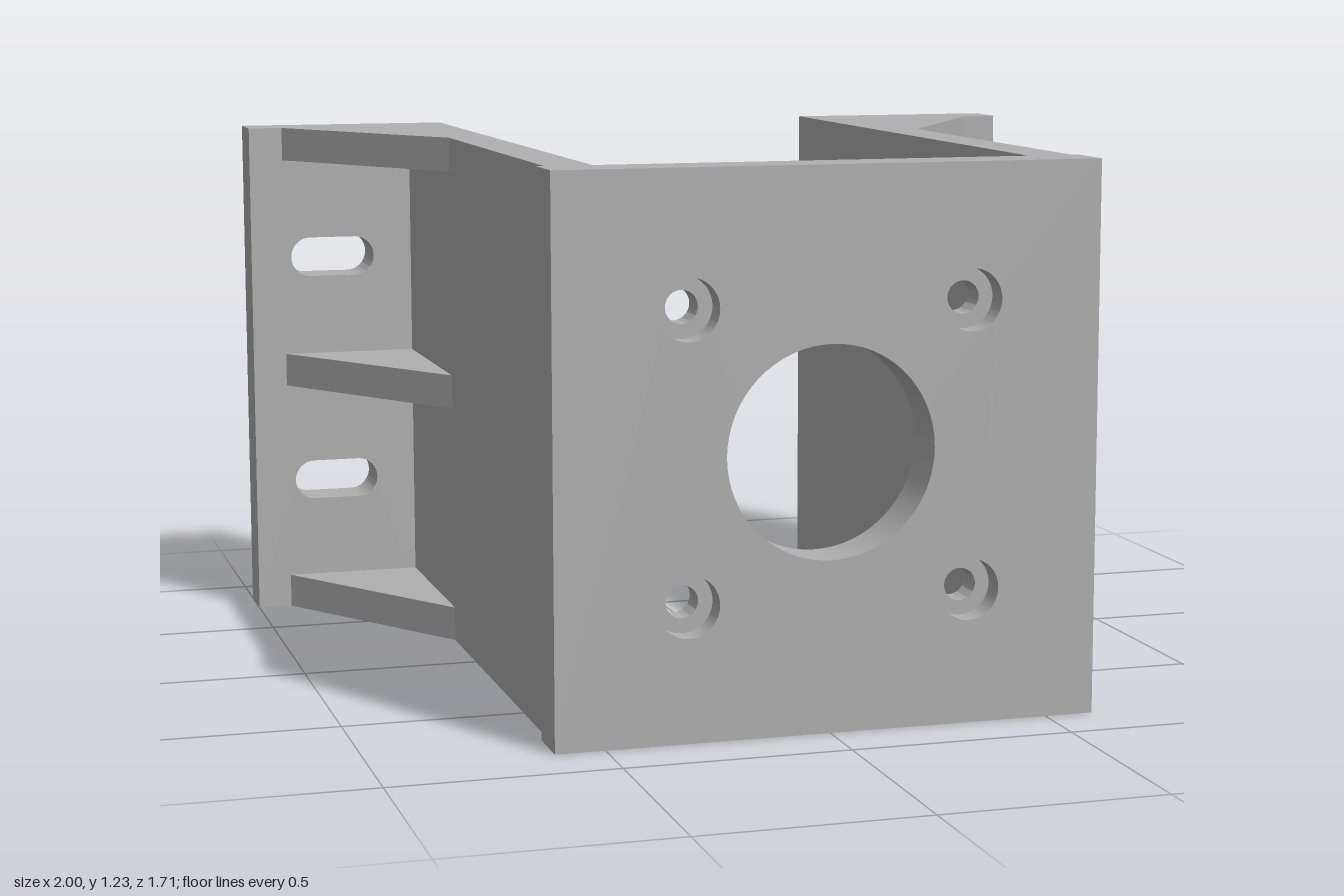
import * as THREE from 'three';
import { toCreasedNormals } from 'three/addons/utils/BufferGeometryUtils.js';

const H = 1.225, MID = H / 2;            // bracket height
const FRONT = 0.857, BACK = -0.857;      // outer z faces
const T = 0.122;                         // plate thickness
const WALL_IN = 0.49, WALL_OUT = 0.594;  // side wall x range

const metal = new THREE.MeshStandardMaterial({ color: 0xb0b0b0 });
metal.name = 'grey metal';

function part(name, geometry, x = 0, y = 0, z = 0) {
  const mesh = new THREE.Mesh(geometry, metal);
  mesh.name = name;
  mesh.position.set(x, y, z);
  return mesh;
}

function extrude(shape, depth) {
  const g = new THREE.ExtrudeGeometry(shape, { depth, bevelEnabled: false, curveSegments: 32 });
  return toCreasedNormals(g, 0.5);
}

function rectangle(x0, x1, y0, y1) {
  return new THREE.Shape([[x0, y0], [x1, y0], [x1, y1], [x0, y1]].map(p => new THREE.Vector2(...p)));
}

function circle(x, y, r, Type = THREE.Path) {
  return new Type().absarc(x, y, r, 0, Math.PI * 2);
}

// horizontal slot with rounded ends
function slot(x, y, halfLength, r) {
  const path = new THREE.Path();
  path.absarc(x + halfLength - r, y, r, -Math.PI / 2, Math.PI / 2);
  path.absarc(x - halfLength + r, y, r, Math.PI / 2, Math.PI * 1.5);
  path.closePath();
  return path;
}

export function createModel() {
  const model = new THREE.Group();
  model.name = 'motorBracket';

  // Front plate with the central bore and four counterbored screw holes
  const plate = rectangle(-0.61, 0.61, 0, H);
  plate.holes.push(circle(0, MID, 0.233));
  for (const sx of [-1, 1]) {
    for (const sy of [-1, 1]) {
      const x = sx * 0.316, y = MID + sy * 0.316;
      plate.holes.push(circle(x, y, 0.068));
      // Ledge at the bottom of the counterbore
      const ledge = circle(0, 0, 0.068, THREE.Shape);
      ledge.holes.push(circle(0, 0, 0.036));
      model.add(part('screwLedge', extrude(ledge, 0.065), x, y, FRONT - T));
    }
  }
  model.add(part('frontPlate', extrude(plate, T), 0, 0, FRONT - T));

  for (const s of [-1, 1]) {
    const side = new THREE.Group();
    side.name = s > 0 ? 'leftArm' : 'rightArm';
    model.add(side);

    // Side wall
    const length = FRONT - T - BACK;
    side.add(part('sideWall', new THREE.BoxGeometry(WALL_OUT - WALL_IN, H, length),
      s * (WALL_IN + WALL_OUT) / 2, MID, BACK + length / 2));

    // Rear mounting flange with two slots
    const flange = rectangle(s * WALL_OUT, s, 0, H);
    for (const sy of [-1, 1]) flange.holes.push(slot(s * 0.795, MID + sy * 0.286, 0.105, 0.049));
    side.add(part('mountingFlange', extrude(flange, T), 0, 0, BACK));

    // Three triangular gussets between wall and flange
    const gusset = new THREE.Shape([
      new THREE.Vector2(s * WALL_OUT, 0.235),
      new THREE.Vector2(s * WALL_OUT, -BACK - T),
      new THREE.Vector2(s * 0.918, -BACK - T),
    ]);
    const thick = 0.081;
    for (const y of [0, MID - thick / 2, H - thick]) {
      side.add(part('gusset', extrude(gusset, thick).rotateX(-Math.PI / 2), 0, y, 0));
    }
  }
  return model;
}
